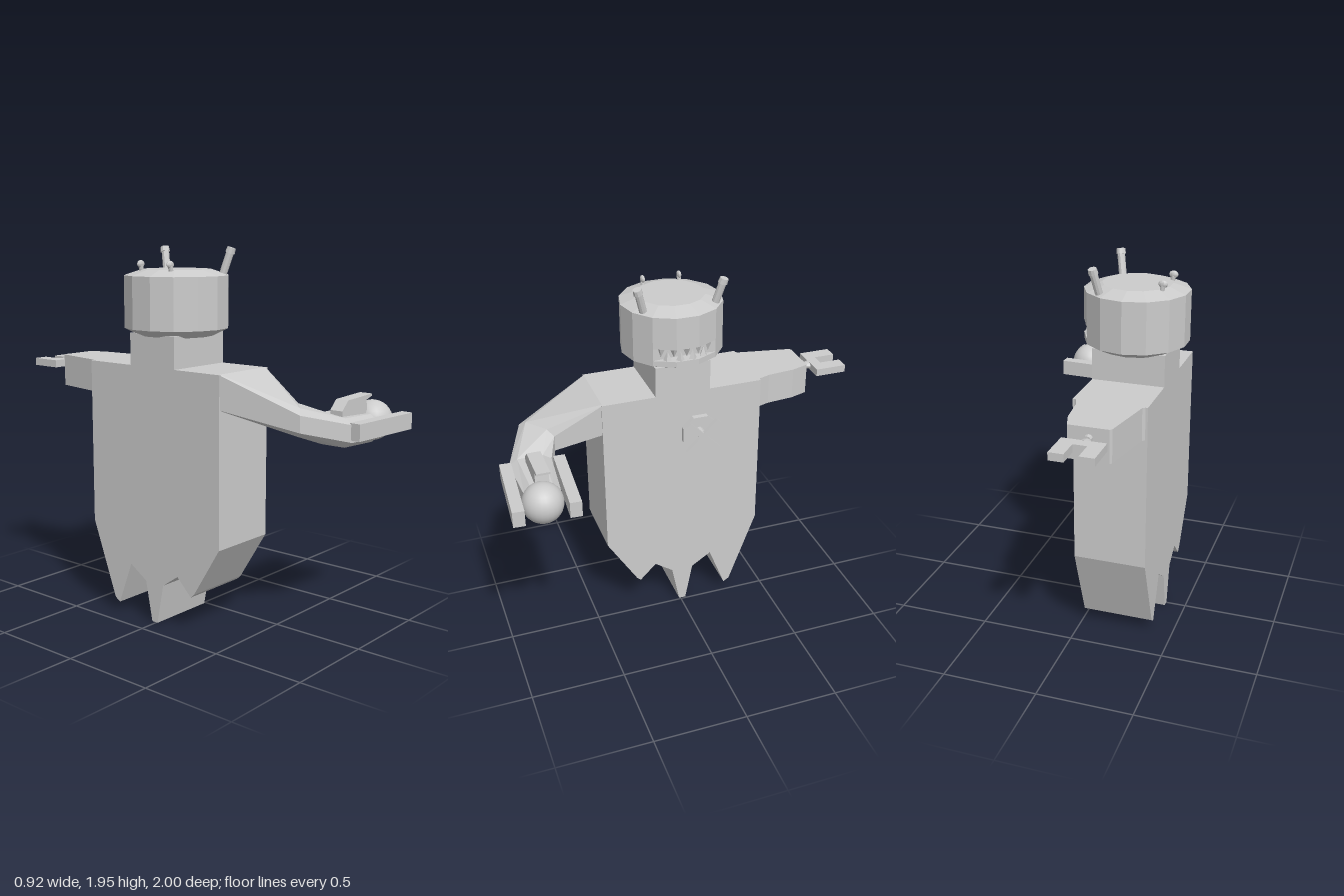
import * as THREE from 'three';

const mat = new THREE.MeshStandardMaterial({ color: 0xcccccc, flatShading: true });
const smooth = new THREE.MeshStandardMaterial({ color: 0xcccccc });

export function createModel() {
  const root = new THREE.Group();
  const add = (name, geo, x = 0, y = 0, z = 0, parent = root, m = mat) => {
    const mesh = new THREE.Mesh(geo, m);
    mesh.name = name;
    mesh.position.set(x, y, z);
    parent.add(mesh);
    return mesh;
  };
  const extrude = (pts, depth, holes = []) => {
    const s = new THREE.Shape(pts.map(p => new THREE.Vector2(...p)));
    holes.forEach(h => s.holes.push(new THREE.Path(h.map(p => new THREE.Vector2(...p)))));
    return new THREE.ExtrudeGeometry(s, { depth, bevelEnabled: false });
  };
  // outline in (z, y), running along +x
  const alongX = (pts, depth, holes = []) => {
    const flip = list => list.map(([z, y]) => [-z, y]);
    return extrude(flip(pts), depth, holes.map(flip)).rotateY(Math.PI / 2);
  };
  // outline in (x, z), running downwards
  const downY = (pts, depth) => extrude(pts, depth).rotateX(Math.PI / 2);
  // cylinder between two points
  const rod = (name, a, b, r0, r1, parent) => {
    const p = new THREE.Vector3(...a), q = new THREE.Vector3(...b), d = q.clone().sub(p);
    const mesh = add(name, new THREE.CylinderGeometry(r1, r0, d.length(), 10), 0, 0, 0, parent);
    mesh.position.copy(p).add(q).multiplyScalar(0.5);
    mesh.quaternion.setFromUnitVectors(new THREE.Vector3(0, 1, 0), d.normalize());
    return mesh;
  };

  // slab body with neck and ragged hem
  add('body', alongX([
    [0.135, 1.52], [0.135, 1.355], [0.425, 1.355], [0.425, 0.48], [0.262, 0.215], [0.24, 0.195],
    [0.15, 0.285], [0.05, 0.215], [0.008, 0], [-0.03, 0], [-0.072, 0.215], [-0.18, 0.285],
    [-0.27, 0.05], [-0.302, 0.07], [-0.455, 0.48], [-0.455, 1.355], [-0.165, 1.355], [-0.165, 1.52],
  ], 0.38), -0.39);

  // fourteen-sided head, with a mouth recessed across the three front facets
  const head = new THREE.Group();
  head.name = 'head';
  head.position.set(-0.2, 0, -0.015);
  root.add(head);
  const drum = (name, rTop, rBottom, y0, y1) =>
    add(name, new THREE.CylinderGeometry(rTop, rBottom, y1 - y0, 14), 0, (y0 + y1) / 2, 0, head);
  drum('jawUnderside', 0.27, 0.19, 1.505, 1.545);
  drum('jaw', 0.27, 0.27, 1.545, 1.575);
  drum('skull', 0.27, 0.27, 1.64, 1.81);
  drum('crown', 0.178, 0.27, 1.81, 1.84);
  const band = [];
  for (let i = 0; i < 14; i++) {
    const a = i * Math.PI / 7, r = i === 3 || i === 4 ? 0.205 : 0.27;
    band.push([r * Math.sin(a), r * Math.cos(a)]);
  }
  add('mouthBand', downY(band, 0.065), 0, 1.64, 0, head);

  // interlocking teeth
  for (let i = 0; i < 9; i++) {
    const upper = i % 2 === 0, a = Math.PI / 2 + (i - 4) * 0.135;
    const tooth = add(upper ? 'upperTooth' : 'lowerTooth', new THREE.ConeGeometry(0.022, 0.05, 4),
      0.245 * Math.sin(a), upper ? 1.615 : 1.6, 0.245 * Math.cos(a), head);
    tooth.rotation.set(upper ? Math.PI : 0, upper ? -a : a, 0);
  }

  // antennae and small rear knobs
  for (const s of [1, -1]) {
    rod('antenna', [0.135, 1.8, s * 0.188], [0.158, 1.925, s * 0.222], 0.02, 0.02, head);
    rod('antennaTip', [0.157, 1.92, s * 0.221], [0.161, 1.947, s * 0.229], 0.025, 0.022, head);
    rod('knobStem', [-0.15, 1.82, s * 0.1], [-0.158, 1.86, s * 0.1], 0.012, 0.012, head);
    add('knob', new THREE.SphereGeometry(0.024, 10, 8).scale(1, 0.8, 0.5), -0.158, 1.867, s * 0.1, head);
  }

  // chest valve: octagonal frame with a raised cross handle
  const chest = new THREE.Group();
  chest.name = 'chestValve';
  chest.position.set(0, 1.112, -0.105);
  root.add(chest);
  const oct = r => Array.from({ length: 8 }, (_, i) => {
    const a = (i + 0.5) * Math.PI / 4;
    return [r * Math.cos(a), r * Math.sin(a)];
  });
  add('valveFrame', alongX(oct(0.105), 0.035, [oct(0.08)]), -0.015, 0, 0, chest);
  rod('valveHub', [-0.015, 0, 0], [0.06, 0, 0], 0.024, 0.024, chest);
  for (const s of [1, -1]) {
    add('valveBar', new THREE.BoxGeometry(0.024, 0.03, 0.24), 0.058, 0, 0, chest).rotation.x = s * Math.PI / 4;
  }

  // bent left arm: chamfered sections from shoulder to palm
  const section = ([ox, oz], [ix, iz], y0, y1, b) =>
    [[b, 0], [1 - b, 0], [1, b], [1, 1 - b], [1 - b, 1], [b, 1], [0, 1 - b], [0, b]]
      .map(([t, v]) => [ox + (ix - ox) * t, y0 + (y1 - y0) * v, oz + (iz - oz) * t]);
  const rings = [
    section([-0.385, 0.42], [-0.015, 0.42], 1.18, 1.357, 0.02),
    section([-0.265, 0.81], [-0.08, 0.665], 1.075, 1.215, 0.2),
    section([0.01, 0.925], [0.01, 0.705], 1.0, 1.145, 0.2),
    section([0.28, 0.905], [0.28, 0.725], 0.985, 1.13, 0.2),
  ];
  const pos = [];
  for (let k = 0; k < 3; k++) for (let j = 0; j < 8; j++) {
    const n = (j + 1) % 8, [a, b, c, d] = [rings[k][j], rings[k][n], rings[k + 1][n], rings[k + 1][j]];
    pos.push(...a, ...b, ...c, ...a, ...c, ...d);
  }
  for (let j = 1; j < 7; j++) pos.push(...rings[3][0], ...rings[3][j], ...rings[3][j + 1]);
  const armGeo = new THREE.BufferGeometry();
  armGeo.setAttribute('position', new THREE.Float32BufferAttribute(pos, 3));
  armGeo.computeVertexNormals();
  add('leftArm', armGeo);

  // gripping fingers, thumb and the ball they hold
  for (const [x, z] of [[0.235, 0.68], [0.225, 0.956]]) {
    add('leftFinger', new THREE.BoxGeometry(0.45, 0.085, 0.06), x, 1.085, z).rotation.y = -0.06;
  }
  add('leftThumb', extrude([[0.04, 1.12], [0.04, 1.17], [0.09, 1.218], [0.31, 1.226],
    [0.31, 1.215], [0.26, 1.2], [0.27, 1.12]], 0.07), 0, 0, 0.775);
  add('ball', new THREE.SphereGeometry(0.104, 24, 16), 0.345, 1.085, 0.83, root, smooth);

  // straight right arm ending in a two-pronged fork
  add('rightArm', downY([[-0.385, -0.45], [-0.365, -0.465], [-0.31, -0.755], [-0.3, -0.765], [-0.095, -0.765],
    [-0.065, -0.67], [-0.05, -0.52], [-0.03, -0.46], [-0.01, -0.45]], 0.17), 0, 1.355, 0);
  rod('forkStem', [-0.2, 1.3, -0.75], [-0.2, 1.3, -0.79], 0.022, 0.02);
  rod('forkNeck', [-0.2, 1.297, -0.785], [-0.2, 1.297, -0.835], 0.02, 0.035).scale.z = 0.6;
  add('fork', downY([[-0.31, -0.828], [-0.09, -0.828], [-0.09, -1], [-0.165, -1], [-0.165, -0.885],
    [-0.235, -0.885], [-0.235, -1], [-0.31, -1]], 0.04), 0, 1.316, 0);

  return root;
}
